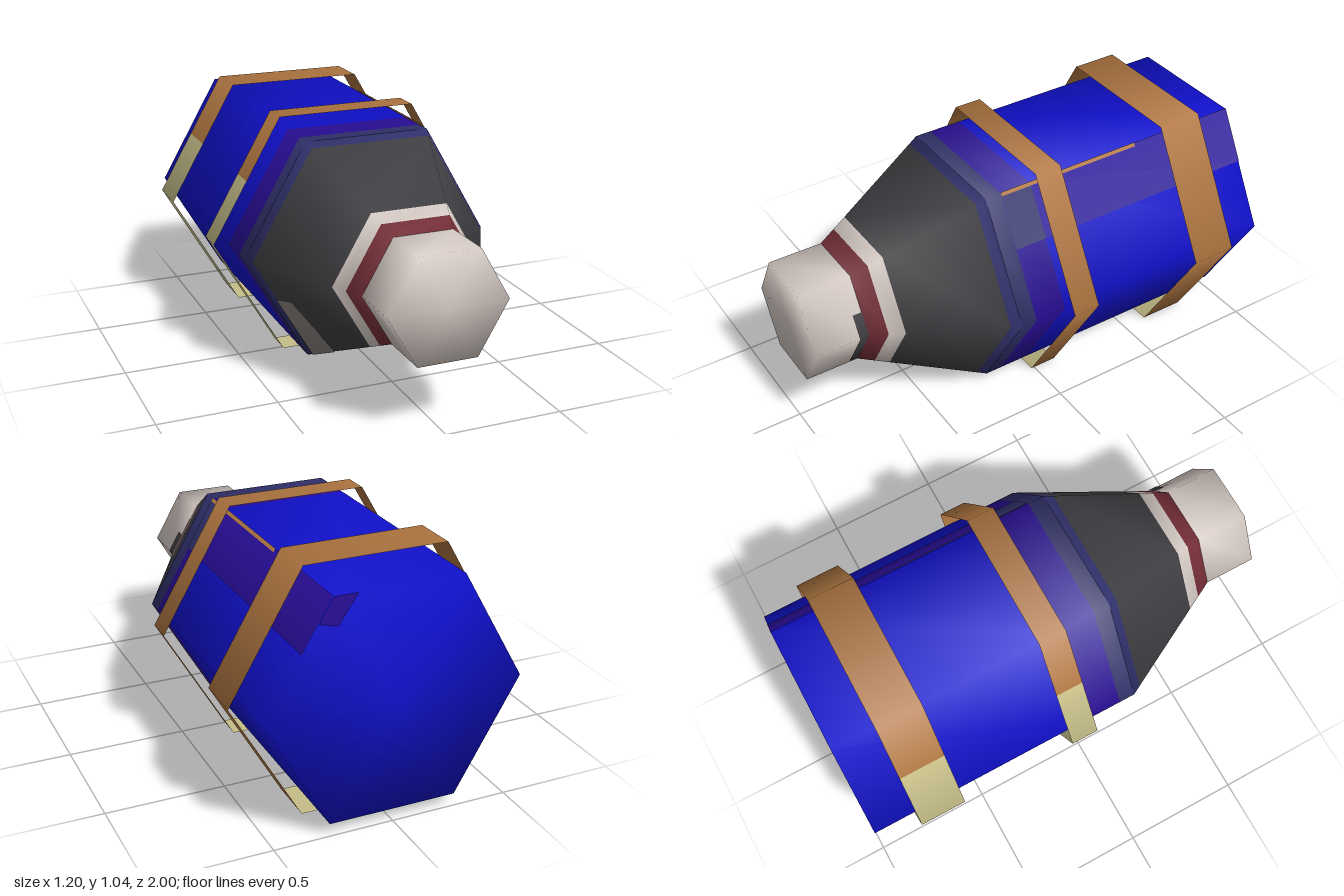
import * as THREE from 'three';

const CY = 0.52; // height of the hexagonal axis

function makeMaterials() {
  const colours = {
    blue: 0x1010cc, purple: 0x290d98, duskBlue: 0x30306c, charcoal: 0x3e3e42, cream: 0xd4c9c3,
    darkRed: 0x732d36, bronze: 0xae7540, khaki: 0xc8c08a, warmGrey: 0x8c847e,
  };
  const mats = {};
  for (const [name, hex] of Object.entries(colours)) {
    mats[name] = new THREE.MeshStandardMaterial({ color: hex });
    mats[name].name = name;
  }
  mats.bronze.side = mats.khaki.side = THREE.DoubleSide;
  return mats;
}

// Point on the unit hexagon's outline; u runs 0..6 from the +x corner
function hexPoint(u) {
  const k = Math.floor(u), t = u - k, a = k * Math.PI / 3, b = a + Math.PI / 3;
  return [Math.cos(a) * (1 - t) + Math.cos(b) * t, Math.sin(a) * (1 - t) + Math.sin(b) * t];
}

function indexed(positions, indices) {
  const g = new THREE.BufferGeometry();
  g.setAttribute('position', new THREE.Float32BufferAttribute(positions, 3));
  g.setIndex(indices);
  return g;
}

// Hexagonal loft along z; each pair of sections is one coloured band
function hexLoft(name, sections, materials, cap) {
  const pos = [], idx = [];
  for (const [z, r] of sections) {
    for (let k = 0; k < 6; k++) {
      const [x, y] = hexPoint(k);
      pos.push(x * r, CY + y * r, z);
    }
  }
  const groups = [];
  for (let s = 0; s < sections.length - 1; s++) {
    groups.push([idx.length, s]);
    for (let k = 0; k < 6; k++) {
      const a = s * 6 + k, b = s * 6 + (k + 1) % 6;
      idx.push(a, b, b + 6, a, b + 6, a + 6);
    }
  }
  if (cap) {
    const front = cap === 'front', last = sections.length - 1;
    const s = front ? last : 0, centre = pos.length / 3;
    pos.push(0, CY, sections[s][0]);
    groups.push([idx.length, front ? last - 1 : 0]);
    for (let k = 0; k < 6; k++) {
      const a = s * 6 + k, b = s * 6 + (k + 1) % 6;
      idx.push(centre, front ? a : b, front ? b : a);
    }
  }
  const g = indexed(pos, idx);
  groups.forEach(([start, m], i) => {
    const end = i + 1 < groups.length ? groups[i + 1][0] : idx.length;
    g.addGroup(start, end - start, m);
  });
  g.computeVertexNormals();
  const mesh = new THREE.Mesh(g, materials);
  mesh.name = name;
  return mesh;
}

// Sheet wrapped over the hexagon from u0 to u1; its front edge may slope from z1 to z1End
function panel(name, material, u0, u1, z0, z1, radiusAt, z1End = z1) {
  const us = [u0];
  for (let k = Math.floor(u0) + 1; k < u1; k++) us.push(k);
  us.push(u1);
  const pos = [], nor = [], idx = [];
  us.forEach((u, i) => {
    const [x, y] = hexPoint(u), len = Math.hypot(x, y);
    const front = z1 + (z1End - z1) * (u - u0) / (u1 - u0);
    for (const z of [z0, front]) {
      const r = radiusAt(z);
      pos.push(x * r, CY + y * r, z);
      nor.push(x / len, y / len, 0);
    }
    if (i) {
      const a = 2 * i - 2;
      idx.push(a, a + 2, a + 3, a, a + 3, a + 1);
    }
  });
  const g = indexed(pos, idx);
  g.setAttribute('normal', new THREE.Float32BufferAttribute(nor, 3));
  const mesh = new THREE.Mesh(g, material);
  mesh.name = name;
  return mesh;
}

export function createModel() {
  const m = makeMaterials();
  const model = new THREE.Group();
  model.name = 'hexagonalCapsule';

  const R = 0.538, TIP = 0.252;
  const cone = z => R + (TIP - R) * (z - 0.23) / 0.54;
  const onBarrel = () => R + 0.004;
  const onCone = z => cone(z) + 0.004;

  // Main hull: barrel, tapered nose and blunt tip
  model.add(
    hexLoft('barrel', [[-1, R], [0.02, R], [0.16, R], [0.23, R]], [m.blue, m.purple, m.duskBlue], 'back'),
    hexLoft('noseCone', [0.23, 0.27, 0.64, 0.70, 0.77].map(z => [z, cone(z)]),
      [m.duskBlue, m.charcoal, m.cream, m.darkRed]),
    hexLoft('tip', [[0.77, TIP], [1, TIP]], [m.cream], 'front'),
  );

  // Two open hoops standing off the barrel, khaki on the lower side
  const hoopRadius = () => 0.6;
  for (const [name, z0, z1] of [['frontHoop', -0.105, 0.015], ['rearHoop', -0.815, -0.615]]) {
    const hoop = new THREE.Group();
    hoop.name = name;
    hoop.add(
      panel('hoopUpper', m.bronze, -1, 2.5, z0, z1, hoopRadius),
      panel('hoopLower', m.khaki, 2.5, 5, z0, z1, hoopRadius),
    );
    model.add(hoop);
  }

  // Painted strips and patches
  model.add(
    panel('sideStripe', m.purple, 0.56, 1, -1, 0.02, onBarrel),
    panel('sideStripeFront', m.duskBlue, 0.56, 1, 0.02, 0.16, onBarrel),
    panel('edgeLine', m.bronze, 0.97, 1, -0.5, 0.16, () => R + 0.006),
    panel('lowerPatchSide', m.warmGrey, 3.4, 4, 0.27, 0.35, onCone, 0.42),
    panel('lowerPatchBottom', m.warmGrey, 4, 4.85, 0.27, 0.42, onCone, 0.29),
    panel('tipMark', m.charcoal, -0.9, 0.4, 0.77, 0.81, () => TIP + 0.003),
  );

  // Corner patch on the rear face (x mirrored by the half turn)
  const corner = new THREE.Shape([[-0.269, 0.466], [-0.325, 0.37], [-0.25, 0.35], [-0.17, 0.466]]
    .map(([x, y]) => new THREE.Vector2(x, y)));
  const rearPatch = new THREE.Mesh(new THREE.ShapeGeometry(corner), m.purple);
  rearPatch.name = 'rearPatch';
  rearPatch.rotation.y = Math.PI;
  rearPatch.position.set(0, CY, -1.003);
  model.add(rearPatch);

  return model;
}
